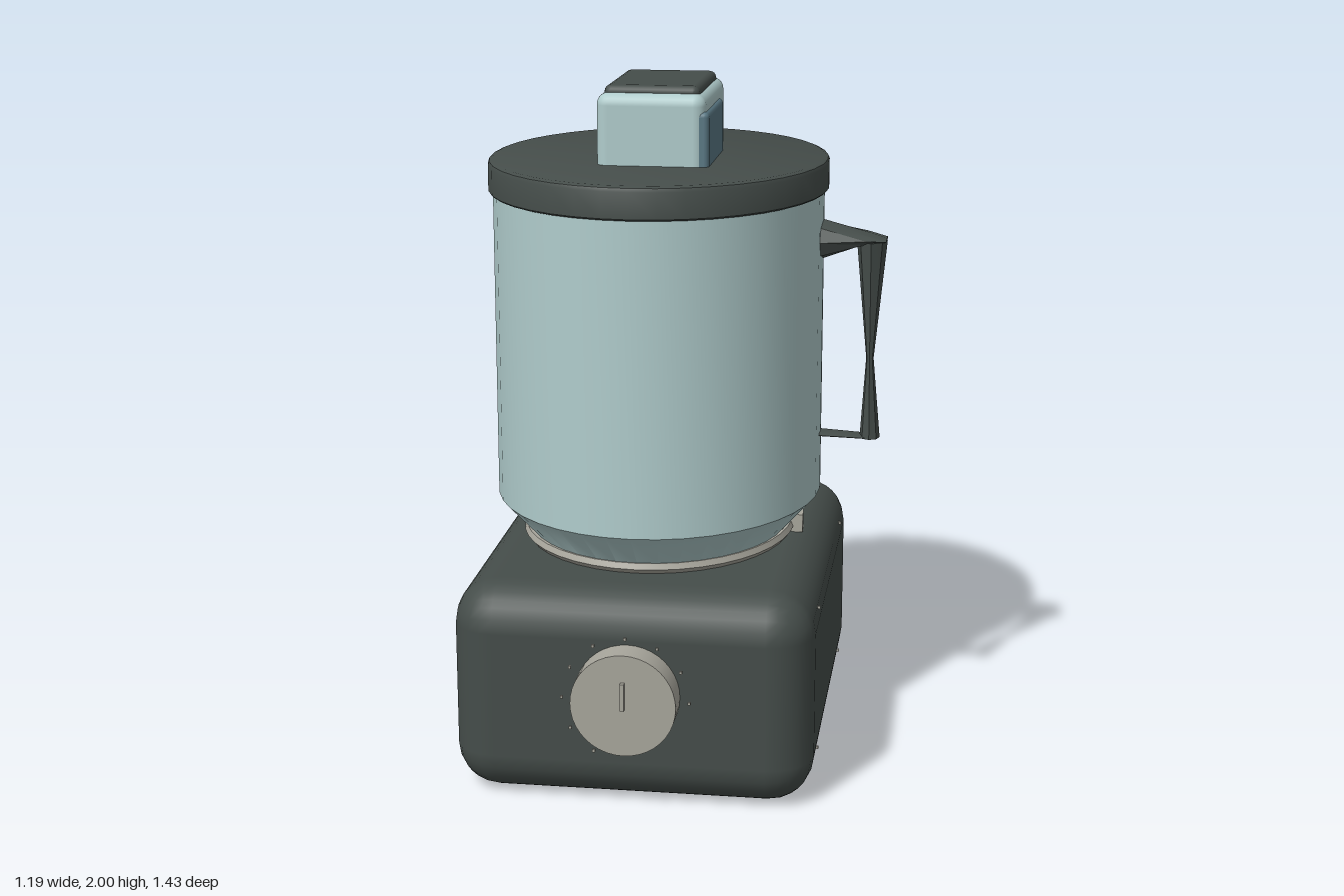
import * as THREE from 'three';
import { toCreasedNormals } from 'three/addons/utils/BufferGeometryUtils.js';
import { RoundedBoxGeometry } from 'three/addons/geometries/RoundedBoxGeometry.js';

const CX = -0.085, CZ = -0.052; // shared axis of base, jar and lid
const mat = (color) => new THREE.MeshStandardMaterial({ color });

export function createModel() {
  const model = new THREE.Group();
  const dark = mat(0x454d4a), glass = mat(0xb0cccc), blue = mat(0x5a7884), metal = mat(0xa8a69c);

  const add = (name, geometry, material, x = 0, y = 0, z = 0, parent = model) => {
    const mesh = new THREE.Mesh(geometry, material);
    mesh.name = name;
    mesh.position.set(x, y, z);
    parent.add(mesh);
    return mesh;
  };

  // Elliptical turned part: profile of [radius in x, y], stretched in z
  const oval = (profile, stretch = 1.17) => toCreasedNormals(
    new THREE.LatheGeometry(profile.map(([r, y]) => new THREE.Vector2(r, y)), 40).scale(1, 1, stretch), 0.5);

  // Motor base
  add('base', new RoundedBoxGeometry(1.04, 0.63, 1.33, 3, 0.13), dark, -0.08, 0.315, -0.05);

  // Jar with tapered foot
  add('jar', oval([[0, 0.6], [0.37, 0.6], [0.385, 0.655], [0.487, 0.77], [0.487, 1.69], [0, 1.69]]), glass, CX, 0, CZ);

  // Collar ring and the raised locking quarter at the back
  add('collar', oval([[0.36, 0.63], [0.4, 0.63], [0.412, 0.645], [0.405, 0.662], [0.36, 0.662]]), metal, CX - 0.003, 0, -0.065);
  const arc = new THREE.Shape();
  arc.absarc(0, 0, 0.437, 0, Math.PI / 2, false);
  arc.absarc(0, 0, 0.385, Math.PI / 2, 0, true);
  const lock = new THREE.ExtrudeGeometry(arc, { depth: 0.055, bevelEnabled: false, curveSegments: 14 });
  lock.rotateX(-Math.PI / 2).scale(1, 1, 1.13);
  add('collarLock', toCreasedNormals(lock, 0.5), metal, CX, 0.627, CZ);

  // Lid
  add('lid', oval([[0, 1.68], [0.495, 1.68], [0.5, 1.685], [0.5, 1.76], [0.496, 1.77], [0.485, 1.775], [0, 1.775]]), dark, CX, 0, CZ);

  // Lid grip with dark cap and side panel
  add('lidGrip', new RoundedBoxGeometry(0.315, 0.25, 0.46, 3, 0.035), glass, -0.078, 1.855, -0.05);
  add('lidGripCap', new RoundedBoxGeometry(0.275, 0.06, 0.4, 2, 0.02), dark, -0.078, 1.97, -0.05);
  add('lidGripPanel', new RoundedBoxGeometry(0.06, 0.2, 0.34, 2, 0.015), blue, 0.06, 1.83, 0.005);

  // Handle limbs: rows of [centre x, centre y, half thickness, half width]
  const limb = (rows, sideways) => {
    const n = rows.length - 1;
    const g = new THREE.CylinderGeometry(1, 1, 1, 8, n);
    const p = g.attributes.position;
    for (let i = 0; i < p.count; i++) {
      const [cx, cy, t, w] = rows[Math.round((0.5 - p.getY(i)) * n)];
      const a = p.getX(i) * t;
      p.setXYZ(i, sideways ? cx : cx + a, sideways ? cy - a : cy, p.getZ(i) * w);
    }
    return toCreasedNormals(g, 0.4);
  };
  const handle = new THREE.Group();
  handle.name = 'handle';
  handle.position.z = CZ;
  model.add(handle);
  add('handlePost', limb([[0.545, 1.535, 0.045, 0.06], [0.545, 1.18, 0.011, 0.018], [0.549, 0.937, 0.03, 0.038]]), dark, 0, 0, 0, handle);
  add('handleTopArm', limb([[0.588, 1.538, 0.004, 0.05], [0.53, 1.542, 0.018, 0.066], [0.38, 1.535, 0.065, 0.08]], true), dark, 0, 0, 0, handle);
  add('handleBottomArm', limb([[0.57, 0.938, 0.005, 0.03], [0.38, 0.946, 0.007, 0.04]], true), dark, 0, 0, 0, handle);

  // Control knob, pointer and dial marks
  const dial = new THREE.Group();
  dial.name = 'dial';
  dial.position.set(-0.08, 0.34, 0);
  model.add(dial);
  const knob = new THREE.CylinderGeometry(0.15, 0.15, 0.1, 40).rotateX(Math.PI / 2);
  add('knob', knob, metal, 0, 0, 0.65, dial);
  add('knobPointer', new THREE.BoxGeometry(0.012, 0.08, 0.03), metal, 0, 0.03, 0.7, dial);
  for (let i = 0; i < 9; i++) {
    const a = (i * Math.PI) / 6;
    add('dialMark', new THREE.BoxGeometry(0.008, 0.008, 0.008), metal, 0.182 * Math.cos(a), 0.182 * Math.sin(a), 0.655, dial);
  }

  // Small screws on the side of the base
  for (const y of [0.1, 0.535])
    for (const z of [0.355, -0.445])
      add('screw', new THREE.BoxGeometry(0.012, 0.008, 0.008), metal, 0.436, y, z);

  return model;
}
